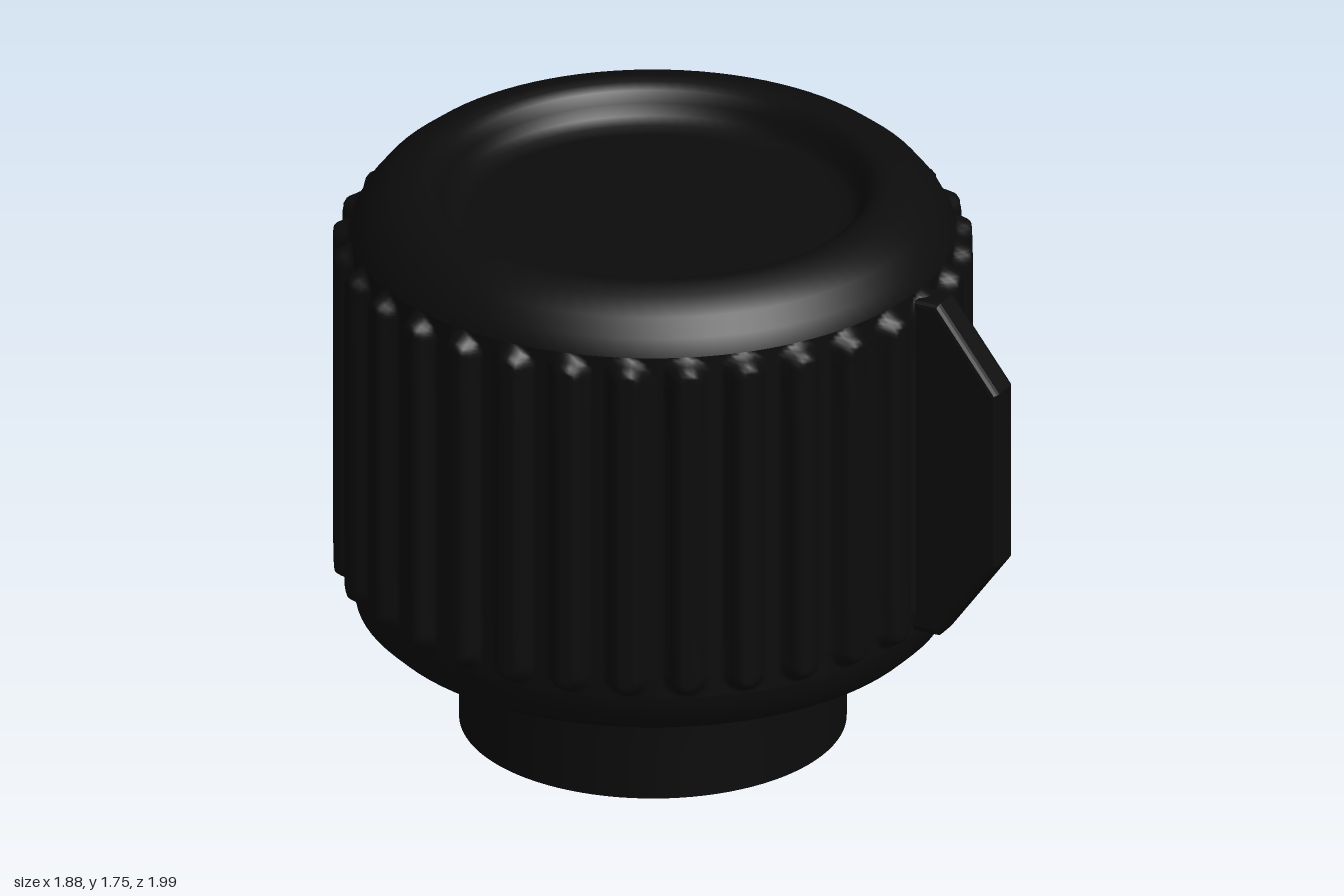
import * as THREE from 'three';

const RIBS = 32, RIB_STEP = (Math.PI * 2) / RIBS;
const RIB_LOW = 0.49, RIB_HIGH = 1.585, RIB_HALF = 0.062, RIB_HEIGHT = 0.051;

// Height of the raised ribs: each is an upright bar with rounded ends.
function ribHeight(angle, y) {
  const turn = ((angle % RIB_STEP) + RIB_STEP) % RIB_STEP;
  const across = (turn - RIB_STEP / 2) * 0.92;
  const nearest = Math.min(Math.max(y, RIB_LOW + RIB_HALF), RIB_HIGH - RIB_HALF);
  const inside = RIB_HALF - Math.hypot(across, y - nearest);
  const t = Math.min(Math.max(inside / 0.034, 0), 1);
  return RIB_HEIGHT * Math.sin((t * Math.PI) / 2) ** 1.3;
}

// A thin turned shell; ribbed shells get the ribs pushed outward.
function shell(name, profile, material, ribbed = false) {
  const points = profile.map(([r, y]) => new THREE.Vector2(r, y));
  const geometry = new THREE.LatheGeometry(points, ribbed ? RIBS * 12 : 96);
  if (ribbed) {
    const p = geometry.attributes.position;
    for (let i = 0; i < p.count; i++) {
      const x = p.getX(i), y = p.getY(i), z = p.getZ(i);
      const r = Math.hypot(x, z);
      const k = 1 + ribHeight(Math.atan2(x, z), y) / r;
      p.setXYZ(i, x * k, y, z * k);
    }
    geometry.computeVertexNormals();
  }
  const mesh = new THREE.Mesh(geometry, material);
  mesh.name = name;
  return mesh;
}

export function createModel() {
  const knob = new THREE.Group();
  knob.name = 'knob';
  const material = new THREE.MeshStandardMaterial({ color: 0x0c0c0c, side: THREE.DoubleSide });

  // Hollow collar, open at the bottom
  knob.add(shell('collar', [[0.57, 0], [0.57, 0.14], [0.57, 0.28], [0.575, 0.315], [0.585, 0.33]], material));

  // Rounded underside
  knob.add(shell('underside', [
    [0.585, 0.33], [0.65, 0.333], [0.73, 0.338], [0.83, 0.357], [0.875, 0.4], [0.888, 0.46], [0.891, 0.48],
  ], material));

  // Ribbed grip, with close rows where the ribs end
  const grip = [];
  for (let i = 0; i <= 8; i++) grip.push([0.891, 0.48 + i * 0.01]);
  for (let i = 1; i <= 6; i++) grip.push([0.891, 0.56 + i * 0.155]);
  for (let i = 1; i <= 10; i++) grip.push([0.891, 1.49 + i * 0.01]);
  knob.add(shell('ribbedGrip', grip, material, true));

  // Rounded shoulder leading into a shallow dished top
  knob.add(shell('dishedTop', [
    [0.891, 1.57], [0.891, 1.59], [0.865, 1.64], [0.825, 1.69], [0.77, 1.733], [0.7, 1.75],
    [0.665, 1.745], [0.64, 1.728], [0.622, 1.695], [0.608, 1.66], [0.585, 1.64], [0.54, 1.632], [0, 1.63],
  ], material));

  // Pointer fin with sloping ends
  const outline = new THREE.Shape();
  outline.moveTo(0.87, 0.51);
  outline.lineTo(0.96, 0.51);
  outline.lineTo(1.145, 0.765);
  outline.lineTo(1.145, 1.31);
  outline.lineTo(0.96, 1.55);
  outline.lineTo(0.87, 1.55);
  const finGeometry = new THREE.ExtrudeGeometry(outline, {
    depth: 0.07, bevelEnabled: true, bevelThickness: 0.02, bevelSize: 0.02, bevelSegments: 3,
  });
  finGeometry.translate(0, 0, -0.035);
  const fin = new THREE.Mesh(finGeometry, material);
  fin.name = 'pointerFin';
  fin.rotation.y = RIB_STEP * 2.5 - Math.PI / 2;
  knob.add(fin);

  // Set the turning axis back so that the fin's reach is centred
  knob.position.z = -0.053;
  const model = new THREE.Group();
  model.name = 'controlKnob';
  model.add(knob);
  return model;
}
